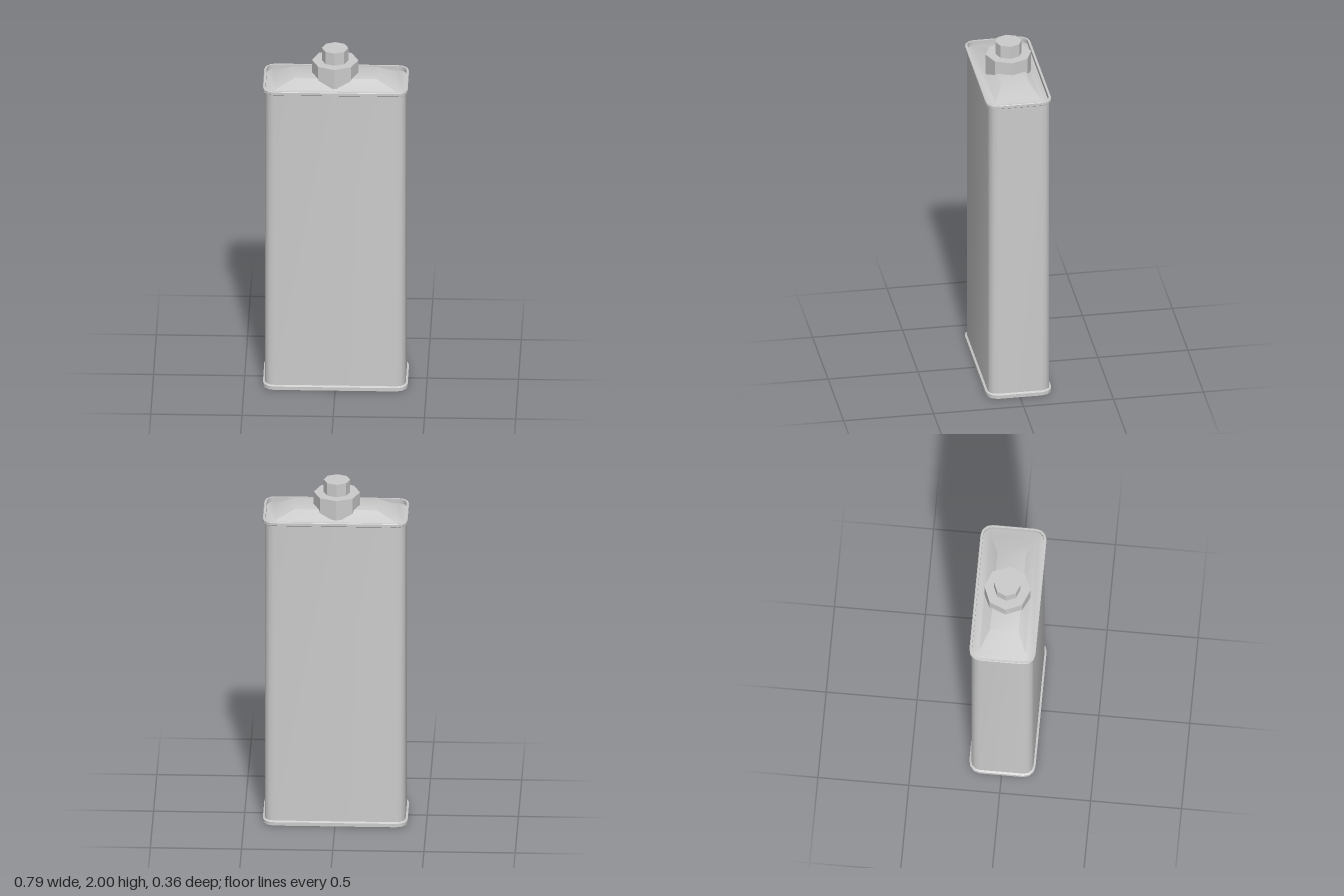
import * as THREE from 'three';
import { toCreasedNormals } from 'three/addons/utils/BufferGeometryUtils.js';

const CORNER_STEPS = 3;
const OUT_X = 0.397, OUT_Z = 0.182, OUT_R = 0.062;

// Rounded rectangle at height y, counter-clockwise seen from above
function ring(hx, hz, r, y) {
  const pts = [];
  const corners = [[1, 1], [1, -1], [-1, -1], [-1, 1]];
  corners.forEach(([sx, sz], c) => {
    for (let i = 0; i <= CORNER_STEPS; i++) {
      const a = Math.PI / 2 * (1 - c - i / CORNER_STEPS);
      pts.push(new THREE.Vector3(
        sx * (hx - r) + r * Math.cos(a), y, sz * (hz - r) + r * Math.sin(a)));
    }
  });
  return pts;
}

// Outer outline moved inward by d
const inset = (d, y) => ring(OUT_X - d, OUT_Z - d, OUT_R - d, y);

// Skin through the rings; optional flat caps on the first and last
function loft(rings, capStart, capEnd) {
  const n = rings[0].length, index = [];
  for (let k = 0; k < rings.length - 1; k++) {
    for (let i = 0; i < n; i++) {
      const j = (i + 1) % n;
      const a = k * n + i, b = k * n + j;
      index.push(a, b, b + n, a, b + n, a + n);
    }
  }
  const last = (rings.length - 1) * n;
  for (let i = 1; i < n - 1; i++) {
    if (capStart) index.push(0, i + 1, i);
    if (capEnd) index.push(last, last + i, last + i + 1);
  }
  const geo = new THREE.BufferGeometry().setFromPoints(rings.flat());
  geo.setIndex(index);
  return toCreasedNormals(geo, 0.6);
}

export function createModel() {
  const model = new THREE.Group();
  model.name = 'can';
  const smooth = new THREE.MeshStandardMaterial({ color: 0xcccccc, side: THREE.DoubleSide });
  const flat = new THREE.MeshStandardMaterial({ color: 0xcccccc, flatShading: true });

  function add(name, geo, mat) {
    const mesh = new THREE.Mesh(geo, mat);
    mesh.name = name;
    model.add(mesh);
    return mesh;
  }

  // Bottom seam with the closed base
  add('bottomRim', loft([
    inset(0.003, 0), inset(0, 0.004), inset(0, 0.024), inset(0.011, 0.03),
  ], true, false), smooth);

  // Straight can walls
  add('body', loft([inset(0.011, 0.03), inset(0.011, 1.793)]), smooth);

  // Top seam, folded over and down to the sunken lid
  add('topRim', loft([
    inset(0.011, 1.79), inset(0, 1.797), inset(0, 1.812),
    inset(0.003, 1.815), inset(0.014, 1.815), inset(0.014, 1.79),
  ]), smooth);

  // Lid: gentle border, then a raised ridge with a flat top
  add('lid', loft([
    inset(0.014, 1.79),
    ring(0.335, 0.128, 0.002, 1.8),
    ring(0.226, 0.078, 0.002, 1.852),
  ], false, true), smooth);

  // Eight-sided spout collar and cap
  const octagon = (name, r, y0, y1) => {
    const mesh = add(name, new THREE.CylinderGeometry(r, r, y1 - y0, 8), flat);
    mesh.position.set(-0.005, (y0 + y1) / 2, -0.003);
  };
  octagon('collar', 0.127, 1.81, 1.926);
  octagon('cap', 0.073, 1.92, 2);

  return model;
}
